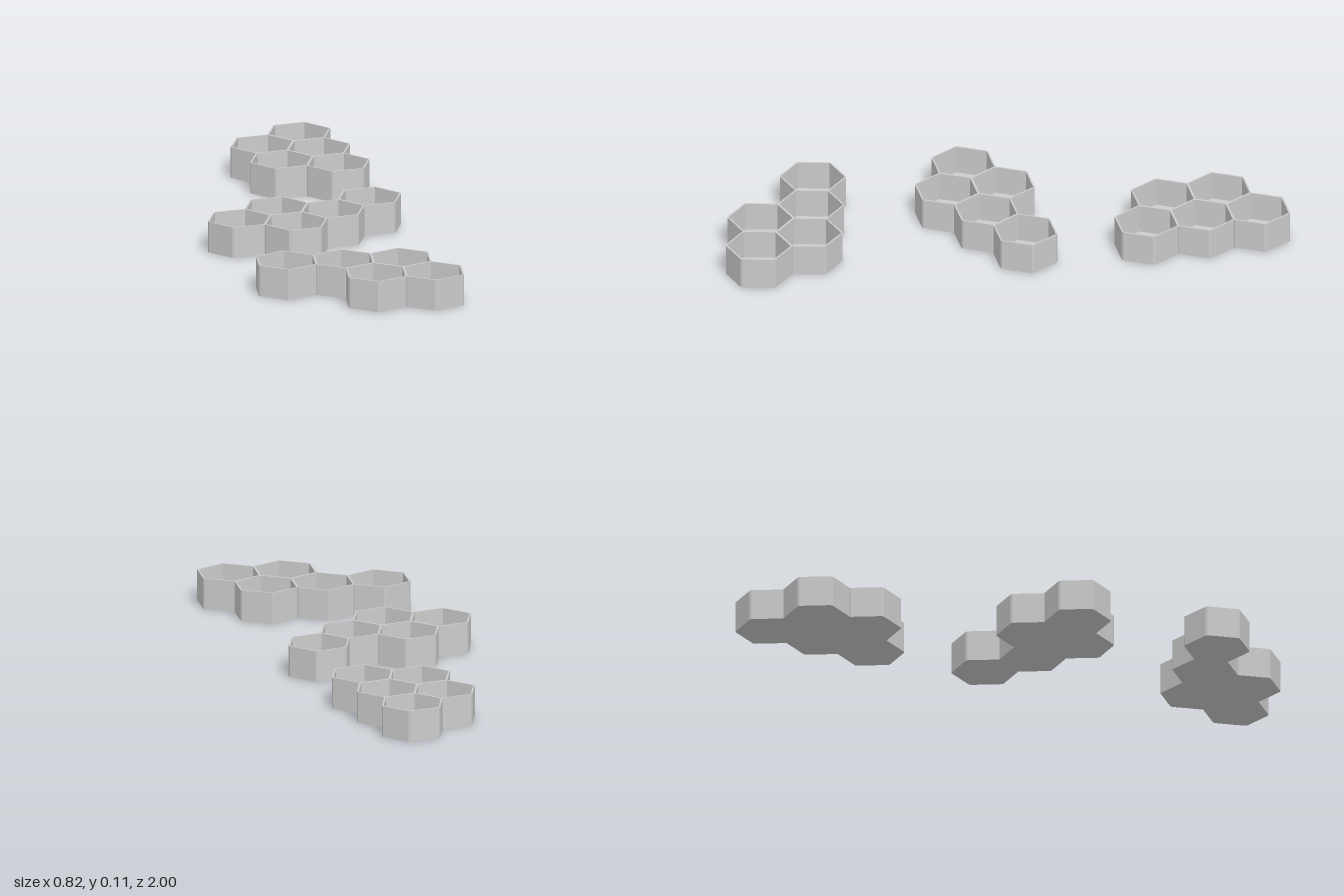
import * as THREE from 'three';

const PITCH = 0.203;    // distance between neighbouring cells
const HEIGHT = 0.113;
const FLOOR = 0.01;
const OUTER = 0.1035;   // half width across the flats, outside
const INNER = 0.0975;   // half width across the flats, inside
const CHAMFER = 0.0043; // half width of the cut at each outer corner

const material = new THREE.MeshStandardMaterial({ color: 0xcccccc, flatShading: true });

// Hexagon with corners on the x axis; a chamfer splits every corner in two.
function hexPoints(apothem, chamfer) {
  const radius = apothem / Math.cos(Math.PI / 6) - chamfer * Math.tan(Math.PI / 6);
  const points = [];
  for (let i = 0; i < 6; i++) {
    const a = (i * Math.PI) / 3;
    for (const s of chamfer ? [-1, 1] : [0]) {
      points.push(new THREE.Vector2(
        radius * Math.cos(a) - s * chamfer * Math.sin(a),
        radius * Math.sin(a) + s * chamfer * Math.cos(a)
      ));
    }
  }
  return points;
}

function extrudeUp(shape, y0, y1) {
  const geometry = new THREE.ExtrudeGeometry(shape, { depth: y1 - y0, bevelEnabled: false });
  geometry.rotateX(-Math.PI / 2);
  geometry.translate(0, y0, 0);
  return geometry;
}

export function createModel() {
  const model = new THREE.Group();
  model.name = 'hexagonalTrays';

  // Shared cell geometry: a solid floor and an open wall ring
  const floorGeometry = extrudeUp(new THREE.Shape(hexPoints(OUTER, CHAMFER)), 0, FLOOR);
  const ring = new THREE.Shape(hexPoints(OUTER, CHAMFER));
  ring.holes.push(new THREE.Path(hexPoints(INNER, 0).reverse()));
  const wallGeometry = extrudeUp(ring, FLOOR, HEIGHT);

  // Each tray: position of its first cell, turn, and cells as hex grid steps
  const trays = [
    { name: 'backTray', x: 0.115, z: -0.795, turn: 0,
      cells: [[0, 0], [0, 1], [1, -1], [1, 0], [1, 1]] },
    { name: 'middleTray', x: -0.275, z: 0.043, turn: 0,
      cells: [[0, 0], [1, -1], [1, 0], [2, -1], [3, -2]] },
    { name: 'frontTray', x: -0.295, z: 0.586, turn: Math.PI / 12,
      cells: [[0, 0], [1, 0], [2, 0], [1, 1], [2, 1]] },
  ];

  for (const { name, x, z, turn, cells } of trays) {
    const tray = new THREE.Group();
    tray.name = name;
    tray.position.set(x, 0, z);
    tray.rotation.y = turn;
    for (const [q, r] of cells) {
      const cell = new THREE.Group();
      cell.name = 'cell';
      const floor = new THREE.Mesh(floorGeometry, material);
      floor.name = 'cellFloor';
      const wall = new THREE.Mesh(wallGeometry, material);
      wall.name = 'cellWall';
      cell.add(floor, wall);
      cell.position.set(q * PITCH * Math.cos(Math.PI / 6), 0, PITCH * (r + q / 2));
      tray.add(cell);
    }
    model.add(tray);
  }
  return model;
}
